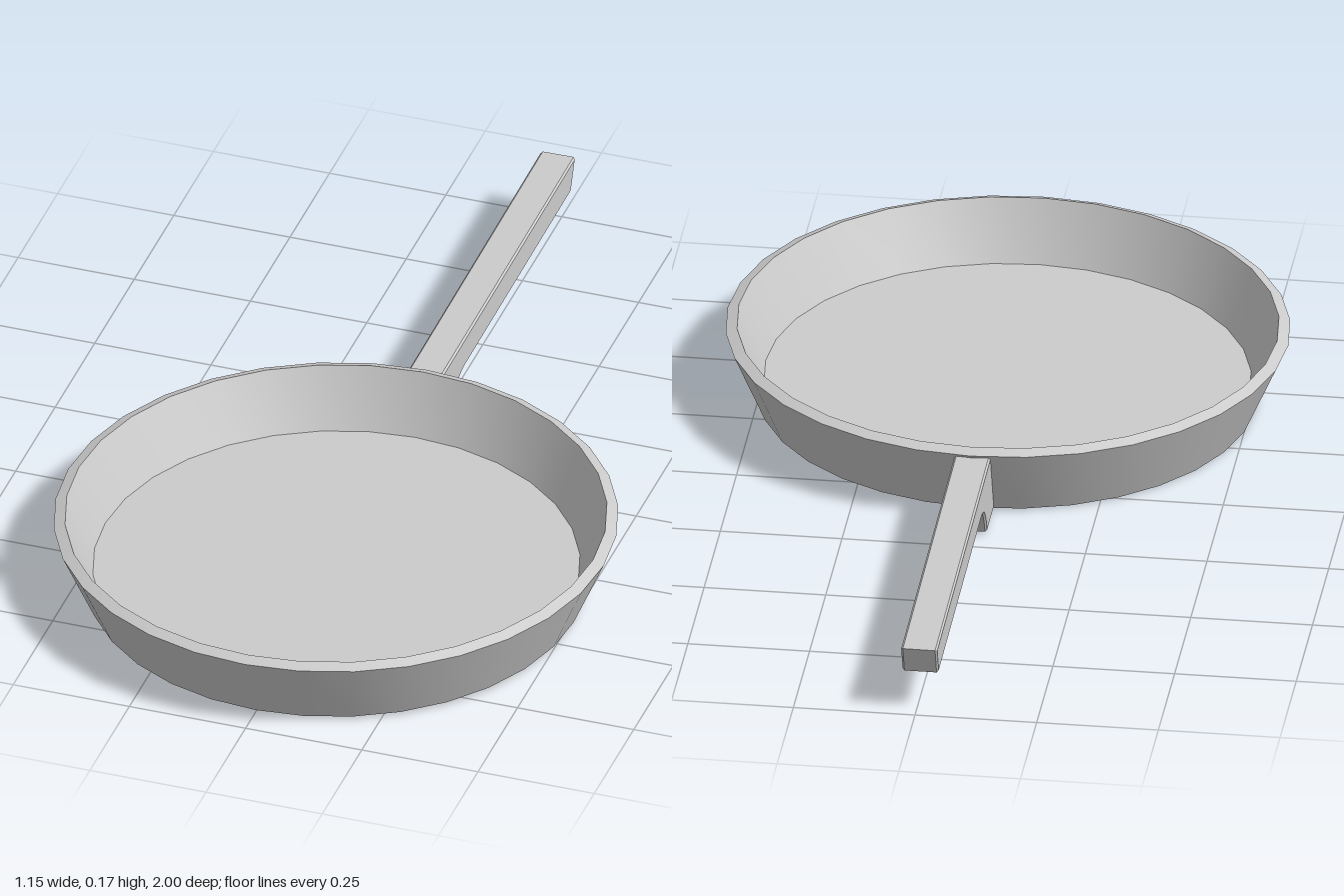
import * as THREE from 'three';
import { toCreasedNormals } from 'three/addons/utils/BufferGeometryUtils.js';

const SIDES = 32;
const PAN_Z = 0.425;

export function createModel() {
  const model = new THREE.Group();
  model.name = 'fryingPan';
  const material = new THREE.MeshStandardMaterial({ color: 0xcccccc });

  const add = (name, geometry) => {
    const mesh = new THREE.Mesh(geometry, material);
    mesh.name = name;
    model.add(mesh);
    return mesh;
  };

  // Bowl: base, flared wall, sloped rim, inner wall and cooking floor
  const profile = [
    [0, 0], [0.51, 0], [0.576, 0.152], [0.553, 0.161], [0.497, 0.037], [0, 0.037],
  ].map(([r, y]) => new THREE.Vector2(r, y));
  const bowl = add('bowl', toCreasedNormals(new THREE.LatheGeometry(profile, SIDES), 0.35));
  bowl.position.z = PAN_Z;

  // Handle side outline: distance backwards and height, with a curved foot at the bowl
  const outline = new THREE.Shape();
  outline.moveTo(0.072, 0.001);
  outline.lineTo(0.19, 0.001);
  outline.bezierCurveTo(0.212, 0.045, 0.235, 0.081, 0.29, 0.082);
  outline.lineTo(0.971, 0.082);
  outline.lineTo(1.0, 0.147);
  outline.lineTo(0.135, 0.147);
  outline.closePath();

  const width = 0.074;
  const bevel = 0.004;
  const handleGeometry = new THREE.ExtrudeGeometry(outline, {
    depth: width - 2 * bevel,
    bevelThickness: bevel,
    bevelSize: bevel,
    bevelOffset: -bevel,
    bevelSegments: 1,
    curveSegments: 8,
  });
  handleGeometry.translate(0, 0, bevel - width / 2).rotateY(Math.PI / 2);
  const handle = add('handle', toCreasedNormals(handleGeometry, 0.35));
  handle.position.x = -0.002;
  handle.rotation.y = 0.005;

  // The pan rests with a very slight sideways lean
  model.rotation.z = 0.0075;
  model.position.y = 0.004;
  return model;
}
